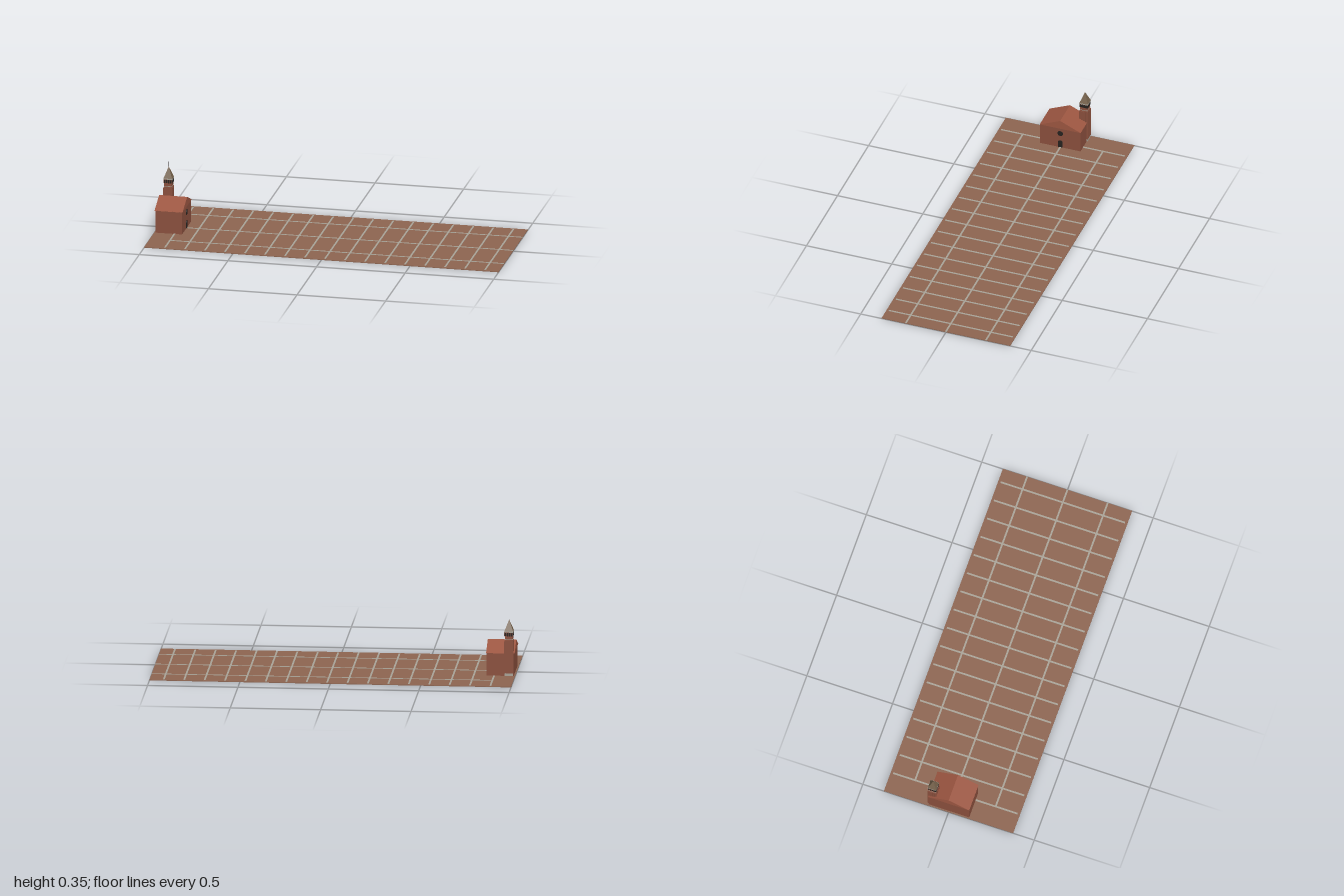
import * as THREE from 'three';

const paint = (color) => new THREE.MeshStandardMaterial({ color, flatShading: true });
const brick = paint(0x8a4f3d), roofTile = paint(0x9c5641), paving = paint(0x8c6450);
const stone = paint(0xa8a296), dark = paint(0x26221f), slate = paint(0x75614b);

function add(parent, name, geometry, material, x = 0, y = 0, z = 0) {
  const mesh = new THREE.Mesh(geometry, material);
  mesh.name = name;
  mesh.position.set(x, y, z);
  parent.add(mesh);
  return mesh;
}

// Box given by its bottom height and top height
function block(parent, name, material, w, d, y0, y1, x = 0, z = 0) {
  return add(parent, name, new THREE.BoxGeometry(w, y1 - y0, d), material, x, (y0 + y1) / 2, z);
}

// Round-headed panel standing on y = 0, facing +z
function archPanel(width, height, depth) {
  const r = width / 2;
  const s = new THREE.Shape();
  s.moveTo(-r, 0);
  s.lineTo(r, 0);
  s.lineTo(r, height - r);
  s.absarc(0, height - r, r, 0, Math.PI, false);
  s.closePath();
  return new THREE.ExtrudeGeometry(s, { depth, bevelEnabled: false, curveSegments: 10 });
}

function createSquare() {
  const g = new THREE.Group();
  g.name = 'square';
  block(g, 'paving', paving, 2, 0.754, 0, 0.004);
  // Pale stone grid: three long bands and seventeen cross bands
  for (const z of [-0.235, 0, 0.235]) {
    block(g, 'longBand', stone, 1.885, 0.01, 0.003, 0.0055, 0.0575, z);
  }
  for (let i = 0; i < 17; i++) {
    block(g, 'crossBand', stone, 0.01, 0.726, 0.003, 0.0056, -0.885 + i * 0.1129, 0);
  }
  return g;
}

function createChurch() {
  const g = new THREE.Group();
  g.name = 'church';
  block(g, 'walls', brick, 0.15, 0.236, 0, 0.132, -0.918, 0);

  // Gabled roof with its ridge along x
  const gable = new THREE.Shape();
  gable.moveTo(-0.12, 0);
  gable.lineTo(0.12, 0);
  gable.lineTo(0, 0.053);
  gable.closePath();
  const roof = new THREE.ExtrudeGeometry(gable, { depth: 0.158, bevelEnabled: false });
  add(g, 'roof', roof, roofTile, -0.998, 0.131, 0).rotation.y = Math.PI / 2;

  // Door and round window on the +x facade
  add(g, 'door', archPanel(0.028, 0.045, 0.003), dark, -0.844, 0.005, 0).rotation.y = Math.PI / 2;
  const rose = new THREE.CylinderGeometry(0.016, 0.016, 0.003, 24);
  add(g, 'roundWindow', rose, dark, -0.8425, 0.097, 0).rotation.z = Math.PI / 2;
  return g;
}

function createTower() {
  const g = new THREE.Group();
  g.name = 'bellTower';
  g.position.set(-0.966, 0, -0.1);
  block(g, 'footing', stone, 0.046, 0.046, 0, 0.02);
  block(g, 'shaft', brick, 0.046, 0.046, 0.018, 0.203);
  block(g, 'stringCourse', brick, 0.049, 0.049, 0.197, 0.204);
  block(g, 'belfryBase', brick, 0.043, 0.043, 0.203, 0.232);
  block(g, 'stoneBand', stone, 0.045, 0.045, 0.209, 0.212);
  block(g, 'belfry', brick, 0.047, 0.047, 0.229, 0.251);
  block(g, 'cornice', stone, 0.05, 0.05, 0.25, 0.256);

  // Pilasters and belfry arches repeat on all four sides
  for (let side = 0; side < 4; side++) {
    const face = new THREE.Group();
    face.name = 'towerSide';
    face.rotation.y = side * Math.PI / 2;
    for (let i = -2; i <= 2; i++) {
      block(face, 'pilaster', brick, 0.004, 0.004, 0.02, 0.2, i * 0.0115, 0.0235);
    }
    for (let i = -1.5; i <= 1.5; i++) {
      add(face, 'belfryArch', archPanel(0.0085, 0.019, 0.002), dark, i * 0.0118, 0.23, 0.0232);
    }
    g.add(face);
  }

  // Four-sided spire with a thin finial
  const spire = new THREE.ConeGeometry(0.0245 * Math.SQRT2, 0.064, 4);
  spire.rotateY(Math.PI / 4);
  add(g, 'spire', spire, slate, 0, 0.288, 0);
  add(g, 'finial', new THREE.CylinderGeometry(0.0008, 0.0008, 0.032, 6), dark, 0, 0.331, 0);
  return g;
}

export function createModel() {
  const model = new THREE.Group();
  model.name = 'squareWithChurch';
  model.add(createSquare(), createChurch(), createTower());
  return model;
}
